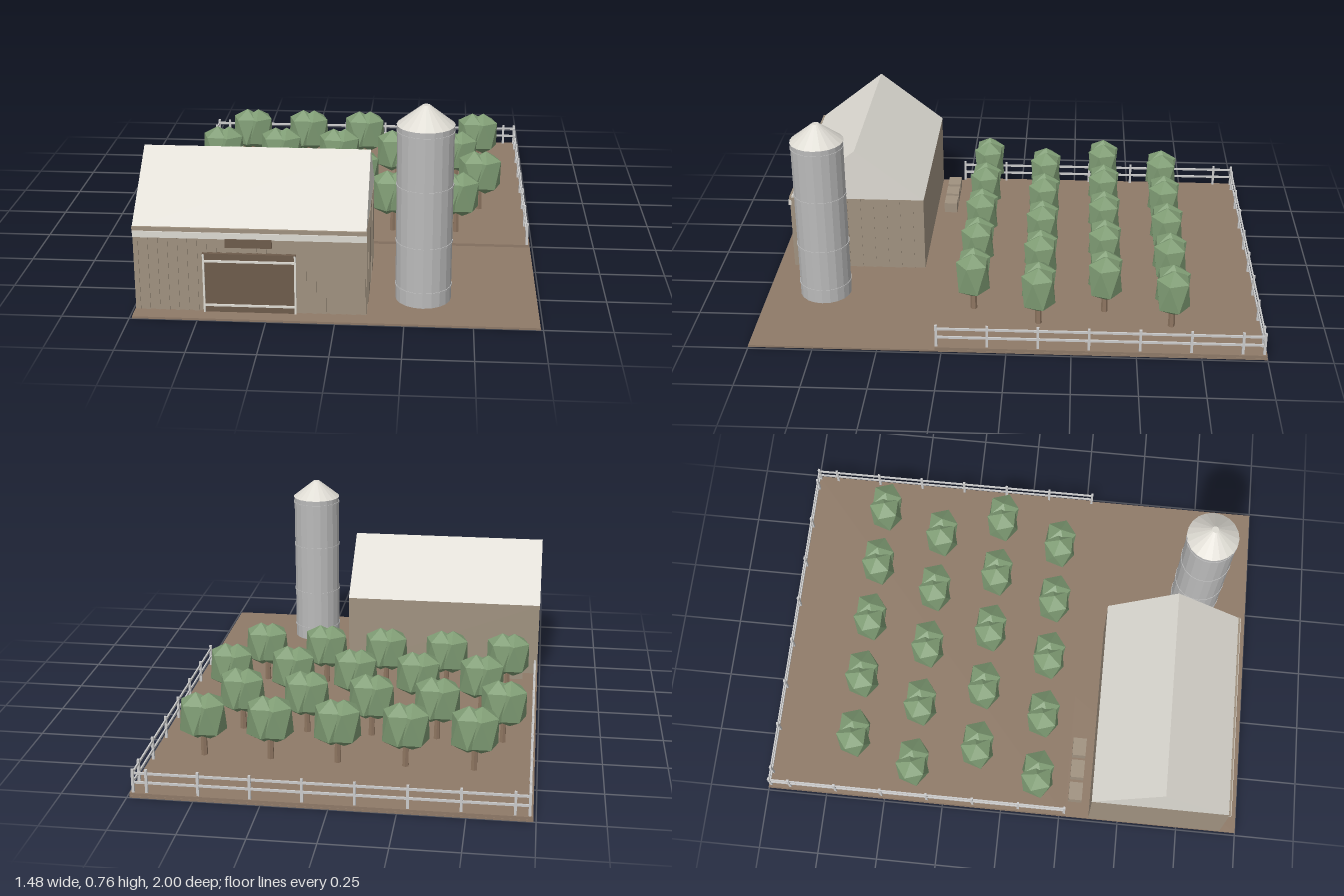
import * as THREE from 'three';

export function createModel() {
  const model = new THREE.Group();
  model.name = 'orchardFarm';
  const paint = (color) => new THREE.MeshStandardMaterial({ color, flatShading: true });
  const soil = paint(0x8f7a68), wood = paint(0xa09280), darkWood = paint(0x6e5c4c);
  const roofing = paint(0xdedbd3), leaf = paint(0x7f9c74), trunkWood = paint(0x8d7560);
  const steel = paint(0xbababa), fenceWood = paint(0xc0c0be);

  function add(parent, name, geometry, material, x = 0, y = 0, z = 0) {
    const mesh = new THREE.Mesh(geometry, material);
    mesh.name = name;
    mesh.position.set(x, y, z);
    parent.add(mesh);
    return mesh;
  }
  // Box given by its limits on each axis
  function box(parent, name, material, x0, x1, y0, y1, z0, z1) {
    return add(parent, name, new THREE.BoxGeometry(x1 - x0, y1 - y0, z1 - z0), material,
      (x0 + x1) / 2, (y0 + y1) / 2, (z0 + z1) / 2);
  }
  function group(name) {
    const g = new THREE.Group();
    g.name = name;
    model.add(g);
    return g;
  }

  // Ground slab and raised orchard plot
  box(model, 'ground', soil, -0.74, 0.74, 0, 0.008, -1, 1);
  box(model, 'orchardPlot', soil, -0.739, 0.739, 0.004, 0.019, -0.999, 0.275);

  // Barn walls with a gabled roof prism
  const barn = group('barn');
  box(barn, 'walls', wood, -0.738, 0.11, 0.004, 0.33, 0.376, 0.932);
  const gable = new THREE.Shape([
    new THREE.Vector2(-0.935, 0.33), new THREE.Vector2(-0.375, 0.33), new THREE.Vector2(-0.655, 0.55),
  ]);
  const roof = new THREE.ExtrudeGeometry(gable, { depth: 0.85, bevelEnabled: false });
  roof.rotateY(Math.PI / 2);
  add(barn, 'roof', roof, roofing, -0.739, 0, 0);
  box(barn, 'gutter', wood, -0.739, 0.113, 0.318, 0.335, 0.93, 0.938);
  box(barn, 'eaveTrim', roofing, -0.737, 0.113, 0.296, 0.32, 0.93, 0.942);

  // Upright boards on the front and on the wall beside the silo
  for (let i = 0; i < 24; i++) {
    const x = -0.735 + i * 0.036;
    const overDoor = x > -0.5 && x < -0.14;
    box(barn, 'frontBoard', wood, x, x + 0.016, overDoor ? 0.24 : 0.008, 0.3, 0.93, 0.936);
  }
  for (let i = 0; i < 10; i++) {
    const z = 0.42 + i * 0.055;
    box(barn, 'sideBoard', wood, 0.108, 0.1125, 0.008, 0.33, z, Math.min(z + 0.03, 0.932));
  }

  // Sliding door, its pale frame and the plank above it
  box(barn, 'door', darkWood, -0.48, -0.147, 0.008, 0.238, 0.93, 0.942);
  for (const x of [-0.484, -0.15]) box(barn, 'doorPost', roofing, x, x + 0.007, 0.008, 0.24, 0.94, 0.948);
  for (const y of [0.032, 0.206]) box(barn, 'doorRail', roofing, -0.48, -0.147, y, y + 0.008, 0.94, 0.947);
  box(barn, 'doorTrack', darkWood, -0.484, -0.143, 0.235, 0.241, 0.93, 0.948);
  box(barn, 'plank', darkWood, -0.4, -0.23, 0.265, 0.298, 0.93, 0.946);

  // Silo with hoops and conical cap
  const silo = group('silo');
  silo.position.set(0.315, 0, 0.765);
  add(silo, 'siloBody', new THREE.CylinderGeometry(0.104, 0.104, 0.685, 20), steel, 0, 0.3475, 0);
  for (const y of [0.065, 0.24, 0.46, 0.665]) {
    add(silo, 'hoop', new THREE.CylinderGeometry(0.1065, 0.1065, 0.007, 20), steel, 0, y, 0);
  }
  add(silo, 'siloCap', new THREE.CylinderGeometry(0.014, 0.1065, 0.073, 20), roofing, 0, 0.7265, 0);

  // Low-poly crown: an upright icosahedron with its rings pushed outward in height
  const crown = new THREE.IcosahedronGeometry(1, 0);
  crown.rotateX(-Math.atan((1 + Math.sqrt(5)) / 2));
  const p = crown.attributes.position;
  for (let i = 0; i < p.count; i++) {
    const y = p.getY(i);
    p.setXYZ(i, p.getX(i) * 0.075, Math.sign(y) * (Math.abs(y) > 0.9 ? 0.097 : 0.058), p.getZ(i) * 0.075);
  }
  crown.computeVertexNormals();

  // Four staggered rows of double-crowned trees
  const orchard = group('orchard');
  const trunk = new THREE.CylinderGeometry(0.011, 0.014, 0.11, 6);
  [-0.643, -0.38, -0.118, 0.145].forEach((z, row) => {
    for (let i = 0; i < 5; i++) {
      const tree = new THREE.Group();
      tree.name = 'tree';
      tree.position.set((row % 2 ? -0.61 : -0.51) + i * 0.2625, 0, z);
      orchard.add(tree);
      add(tree, 'trunk', trunk, trunkWood, 0, 0.07, 0);
      add(tree, 'leftCrown', crown, leaf, 0.025, 0.184, 0);
      add(tree, 'rightCrown', crown, leaf, -0.025, 0.184, 0).rotation.y = Math.PI;
    }
  });

  // Two-rail fence on three sides of the orchard
  const fence = group('fence');
  const post = (x, z) => box(fence, 'fencePost', fenceWood, x - 0.005, x + 0.005, 0.015, 0.112, z - 0.005, z + 0.005);
  for (const x of [-0.727, 0.727]) {
    for (let i = 0; i < 7; i++) post(x, 0.27 - i * 0.196);
    post(x, -0.988);
  }
  for (let i = 0; i < 8; i++) post(-0.675 + i * 0.193, -0.988);
  for (const y of [0.054, 0.091]) {
    for (const x of [-0.727, 0.727]) box(fence, 'sideRail', fenceWood, x - 0.003, x + 0.003, y, y + 0.009, -0.988, 0.27);
    box(fence, 'backRail', fenceWood, -0.727, 0.727, y, y + 0.009, -0.991, -0.985);
  }

  // Bales behind the barn
  for (const x of [-0.675, -0.577, -0.48]) box(model, 'bale', wood, x, x + 0.077, 0.005, 0.054, 0.284, 0.341);

  return model;
}
